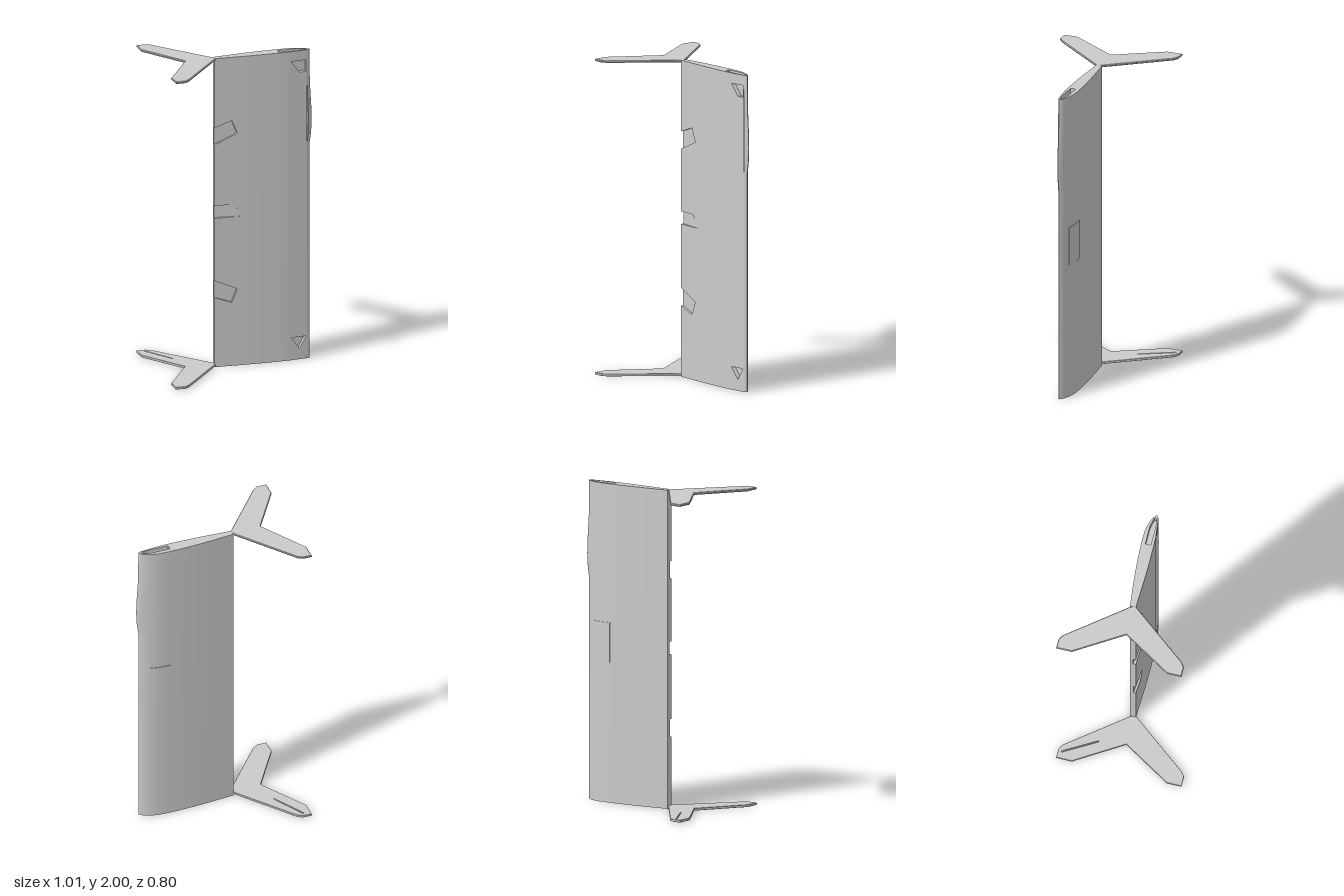
import * as THREE from 'three';
import { mergeGeometries, toCreasedNormals } from 'three/addons/utils/BufferGeometryUtils.js';

const H = 2, TE = -0.13;
// aerofoil section as [x, z]
const front = [[TE, 0.006], [0.06, 0.015], [0.13, 0.0172], [0.2, 0.018], [0.28, 0.0178], [0.35, 0.016], [0.47, 0.003]];
const nose = [[0.47, 0.003], [0.483, -0.002], [0.49, -0.009], [0.482, -0.02], [0.465, -0.032], [0.44, -0.044], [0.41, -0.053],
  [0.375, -0.0595], [0.34, -0.0615], [0.3, -0.062], [0.2, -0.0595], [0.1, -0.0535], [0, -0.045], [TE, -0.031]];

function along(curve, x) {
  for (let i = 1; i < curve.length; i++) {
    const [a, za] = curve[i - 1], [b, zb] = curve[i];
    if (x <= Math.max(a, b) + 1e-6 && x >= Math.min(a, b) - 1e-6) return za + (zb - za) * (x - a) / (b - a);
  }
  return curve[curve.length - 1][1];
}
const frontZ = x => along(front, x);
const backZ = x => along(nose.slice(2), x);

const shapeOf = pts => new THREE.Shape(pts.map(p => new THREE.Vector2(...p)));
const material = () => new THREE.MeshStandardMaterial({ color: 0xcccccc, side: THREE.DoubleSide });

function mesh(name, geo) {
  const m = new THREE.Mesh(geo, material());
  m.name = name;
  return m;
}

function plain(geo) {
  const g = geo.index ? geo.toNonIndexed() : geo;
  g.deleteAttribute('uv');
  g.computeVertexNormals();
  return g;
}

// flat outline with holes, lifted to z = height(x)
function panel(pts, height, holes = []) {
  const s = shapeOf(pts);
  holes.forEach(h => s.holes.push(shapeOf(h)));
  const g = new THREE.ShapeGeometry(s), p = g.attributes.position;
  for (let i = 0; i < p.count; i++) p.setZ(i, height(p.getX(i)));
  return plain(g);
}

function quads(list) {
  const v = [];
  for (const [a, b, c, d] of list) v.push(...a, ...b, ...c, ...a, ...c, ...d);
  const g = new THREE.BufferGeometry();
  g.setAttribute('position', new THREE.Float32BufferAttribute(v, 3));
  return plain(g);
}

// section points swept up through the given heights
function sweep(pts, rows, shift = () => 0) {
  const list = [];
  const at = (i, y) => [pts[i][0] + shift(pts[i][0], y), y, pts[i][1]];
  for (let j = 0; j < rows.length - 1; j++)
    for (let i = 0; i < pts.length - 1; i++)
      list.push([at(i, rows[j]), at(i + 1, rows[j]), at(i + 1, rows[j + 1]), at(i, rows[j + 1])]);
  return quads(list);
}

// sunken pocket: walls and floor, left open along the trailing edge
function pocket(pts, height, depth) {
  const floor = x => height(x) - depth(x);
  const walls = [];
  pts.forEach(([x, y], i) => {
    const [u, v] = pts[(i + 1) % pts.length];
    if (x === TE && u === TE) return;
    walls.push([[x, y, height(x)], [u, v, height(u)], [u, v, floor(u)], [x, y, floor(x)]]);
  });
  return mergeGeometries([panel(pts, floor), quads(walls)]);
}

export function createModel() {
  const model = new THREE.Group();

  // pocket outlines, as [x, y]
  const upper = [[TE, 1.44], [0.015, 1.505], [-0.02, 1.59], [TE, 1.55]];
  const middle = [[TE, 0.965], [0.055, 0.965], [-0.01, 1.045], [TE, 1.045]];
  const lower = upper.map(([x, y]) => [x, H - y]).reverse();
  const notches = [lower, middle, upper];
  const depths = [() => 0.015, x => 0.018 * (0.055 - x) / 0.185, () => 0.015];
  const dimples = [
    [[0.365, 0.145], [0.42, 0.07], [0.465, 0.145]],
    [[0.365, 1.935], [0.42, 1.86], [0.465, 1.86], [0.465, 1.935]],
  ];

  // wing skin: notched rear strip, smooth middle, dimpled strip, nose and back
  const edge = [[0.06, H], [TE, H], ...[...notches].reverse().flatMap(n => [...n].reverse()), [TE, 0], [0.06, 0]];
  const bulge = (x, y) => {
    const swell = along([[0, 0], [1.38, 0], [1.46, 0.011], [1.54, 0.015], [1.62, 0.013], [1.78, 0.003], [2, 0]], y);
    return swell * THREE.MathUtils.smoothstep(x, 0.44, 0.49);
  };
  const skin = mergeGeometries([
    panel(edge, frontZ),
    sweep(front.slice(1, 6), [0, H]),
    panel([[0.35, 0], [0.47, 0], [0.47, H], [0.35, H]], frontZ, dimples),
    sweep(nose, [0, 1.38, 1.46, 1.54, 1.62, 1.78, H], bulge),
  ]);
  model.add(mesh('wingSkin', toCreasedNormals(skin, 0.6)));

  // blunt trailing edge, lower where the notches cut through it
  const rear = [];
  let y0 = 0;
  notches.forEach((n, i) => {
    const ys = n.filter(p => p[0] === TE).map(p => p[1]);
    const a = Math.min(...ys), b = Math.max(...ys);
    rear.push([y0, a, 0.006], [a, b, 0.006 - depths[i](TE)]);
    y0 = b;
  });
  rear.push([y0, H, 0.006]);
  model.add(mesh('trailingEdge', quads(rear.map(([a, b, z]) =>
    [[TE, a, -0.031], [TE, a, z], [TE, b, z], [TE, b, -0.031]]))));

  notches.forEach((n, i) => model.add(mesh('trailingNotch', pocket(n, frontZ, depths[i]))));
  dimples.forEach(d => model.add(mesh('cornerDimple', pocket(d, frontZ, () => 0.028))));

  // end caps, each with a shallow socket near the nose
  const outline = [...front, ...nose.slice(1)];
  const socket = [[0.29, -0.036], [0.41, -0.036], [0.468, -0.022], [0.468, -0.006], [0.41, -0.001], [0.29, -0.001]];
  for (const top of [true, false]) {
    const flip = pts => pts.map(([x, z]) => [x, top ? -z : z]);
    const g = new THREE.Group();
    g.name = top ? 'topCap' : 'bottomCap';
    g.add(mesh('capPlate', panel(flip(outline), () => 0, [flip(socket)])));
    g.add(mesh('capSocket', pocket(flip(socket), () => 0, () => 0.05)));
    g.rotation.x = top ? -Math.PI / 2 : Math.PI / 2;
    g.position.y = top ? H : 0;
    model.add(g);
  }

  // raised hatch on the back, following its curve
  const xs = [0.29, 0.32, 0.35, 0.38, 0.405, 0.425];
  const hatch = [...xs.map(x => [x, -backZ(x) + 0.004]), ...[...xs].reverse().map(x => [x, -backZ(x) - 0.003])];
  const hatchGeo = new THREE.ExtrudeGeometry(shapeOf(hatch), { depth: 0.25, bevelEnabled: false });
  hatchGeo.rotateX(-Math.PI / 2).translate(0, 0.88, 0);
  model.add(mesh('backHatch', hatchGeo));

  // V-shaped fins at both ends, drawn as [x, -z]
  const vee = [[-0.12, 0], [-0.135, 0.03], [-0.415, 0.39], [-0.445, 0.408], [-0.505, 0.41], [-0.505, 0.31],
    [-0.318, 0.008], [-0.505, -0.295], [-0.505, -0.388], [-0.44, -0.388], [-0.41, -0.365]];
  const slit = [[-0.464, 0.385], [-0.456, 0.385], [-0.338, 0.18], [-0.343, 0.178]];
  for (const top of [true, false]) {
    const s = shapeOf(vee);
    if (!top) s.holes.push(shapeOf(slit));
    const b = top ? 0.004 : 0.0015;
    const g = new THREE.ExtrudeGeometry(s, { depth: 0.015 - 2 * b, bevelThickness: b, bevelSize: b, bevelOffset: -b, bevelSegments: 1 });
    g.rotateX(-Math.PI / 2).translate(0, (top ? 1.985 : 0.005) + b, 0);
    model.add(mesh(top ? 'topFins' : 'bottomFins', g));
  }
  return model;
}
